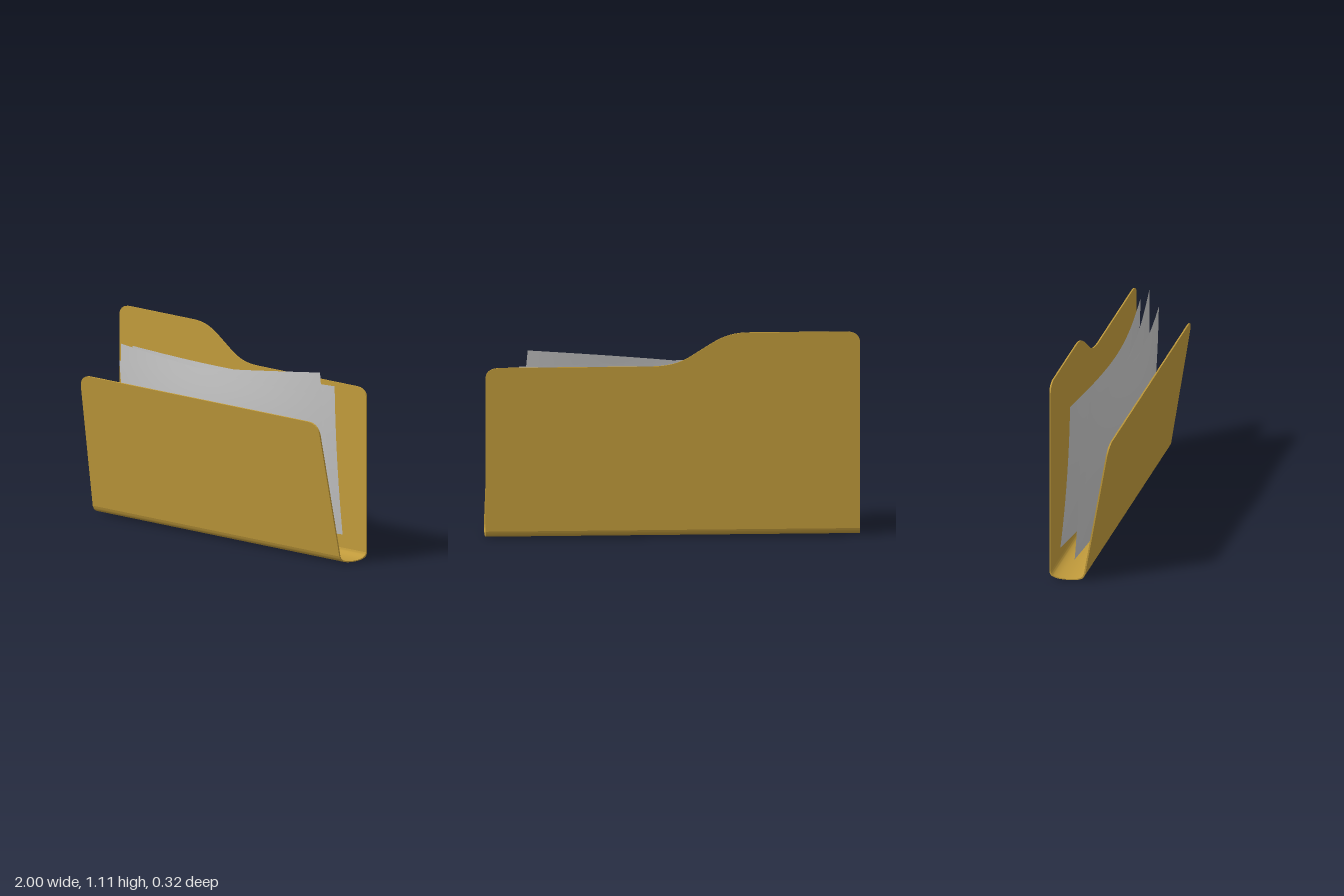
import * as THREE from 'three';
import { toCreasedNormals } from 'three/addons/utils/BufferGeometryUtils.js';

const THICK = 0.008;

export function createModel() {
  const model = new THREE.Group();
  model.name = 'documentFolder';
  const card = new THREE.MeshStandardMaterial({ color: 0xc09a3b });
  card.name = 'mustardCard';
  const paper = new THREE.MeshStandardMaterial({ color: 0xc3c3c3, side: THREE.DoubleSide });
  paper.name = 'greyPaper';

  const add = (name, geometry, material) => {
    const mesh = new THREE.Mesh(geometry, material);
    mesh.name = name;
    model.add(mesh);
    return mesh;
  };
  const extrude = (shape, depth) => toCreasedNormals(
    new THREE.ExtrudeGeometry(shape, { depth, bevelEnabled: false, curveSegments: 14 }), 0.6);

  // Back panel with a raised tab on its right-hand side
  const back = new THREE.Shape();
  back.moveTo(-1, 0.04);
  back.lineTo(1, 0.04);
  back.lineTo(1, 0.875);
  back.bezierCurveTo(1, 0.91, 0.97, 0.93, 0.92, 0.93);
  back.lineTo(0.12, 0.93);
  back.bezierCurveTo(0.03, 0.93, -0.03, 0.945, -0.09, 0.98);
  back.lineTo(-0.21, 1.055);
  back.bezierCurveTo(-0.27, 1.09, -0.32, 1.11, -0.41, 1.11);
  back.lineTo(-0.92, 1.11);
  back.bezierCurveTo(-0.97, 1.11, -1, 1.09, -1, 1.05);
  back.closePath();
  add('backPanel', extrude(back, THICK), card).position.z = -0.16;

  // Front panel, slightly tapered and leaning outwards
  const front = new THREE.Shape();
  front.moveTo(-1, 0);
  front.lineTo(1, 0);
  front.lineTo(0.968, 0.67);
  front.bezierCurveTo(0.965, 0.72, 0.93, 0.74, 0.88, 0.74);
  front.lineTo(-0.88, 0.74);
  front.bezierCurveTo(-0.93, 0.74, -0.965, 0.72, -0.968, 0.67);
  front.closePath();
  const frontGeo = extrude(front, THICK);
  frontGeo.translate(0, 0, -THICK);
  const frontPanel = add('frontPanel', frontGeo, card);
  frontPanel.position.set(0, 0.04, 0.037);
  frontPanel.rotation.x = 0.167;

  // Curved bottom fold joining both panels, open at the ends
  const curve = (pts) => new THREE.SplineCurve(pts.map(([z, y]) => new THREE.Vector2(z, y))).getPoints(30);
  const outer = curve([[-0.16, 0.04], [-0.15, 0.018], [-0.115, 0.004], [-0.06, 0],
    [-0.008, 0.004], [0.024, 0.017], [0.037, 0.04]]);
  const inner = curve([[0.029, 0.041], [0.018, 0.022], [-0.01, 0.01], [-0.06, 0.005],
    [-0.112, 0.01], [-0.143, 0.023], [-0.152, 0.04]]);
  const foldGeo = extrude(new THREE.Shape([...outer, ...inner]), 2);
  foldGeo.rotateY(-Math.PI / 2);
  foldGeo.translate(1, 0, 0);
  add('bottomFold', foldGeo, card);

  // Sheet bowed forwards in the middle and gently along its height
  function addSheet(name, { y, width, height, turn, x, zBottom, zTop, sag }) {
    const geo = new THREE.PlaneGeometry(width, height, 32, 12);
    const p = geo.attributes.position;
    for (let i = 0; i < p.count; i++) {
      const u = Math.abs(p.getX(i)) / (width / 2);
      const v = p.getY(i) / height + 0.5;
      const bow = 1 - 1.5 * u * u + 0.5 * u * u * u;
      const bulge = 4 * v * (1 - v) * (0.01 + 0.028 * bow);
      p.setZ(i, THREE.MathUtils.lerp(zBottom, zTop, v) + sag * bow + bulge);
    }
    geo.computeVertexNormals();
    const sheet = add(name, geo, paper);
    sheet.position.set(x, y, 0);
    sheet.rotation.z = turn;
  }
  addSheet('backSheet', { x: 0, y: 0.515, width: 1.64, height: 0.81, turn: 0.004,
    zBottom: -0.142, zTop: -0.088, sag: 0.066 });
  addSheet('middleSheet', { x: -0.005, y: 0.515, width: 1.635, height: 0.81, turn: 0.098,
    zBottom: -0.073, zTop: -0.028, sag: 0.072 });
  addSheet('frontSheet', { x: 0, y: 0.513, width: 1.63, height: 0.8, turn: -0.037,
    zBottom: -0.036, zTop: 0.01, sag: 0.071 });

  return model;
}
